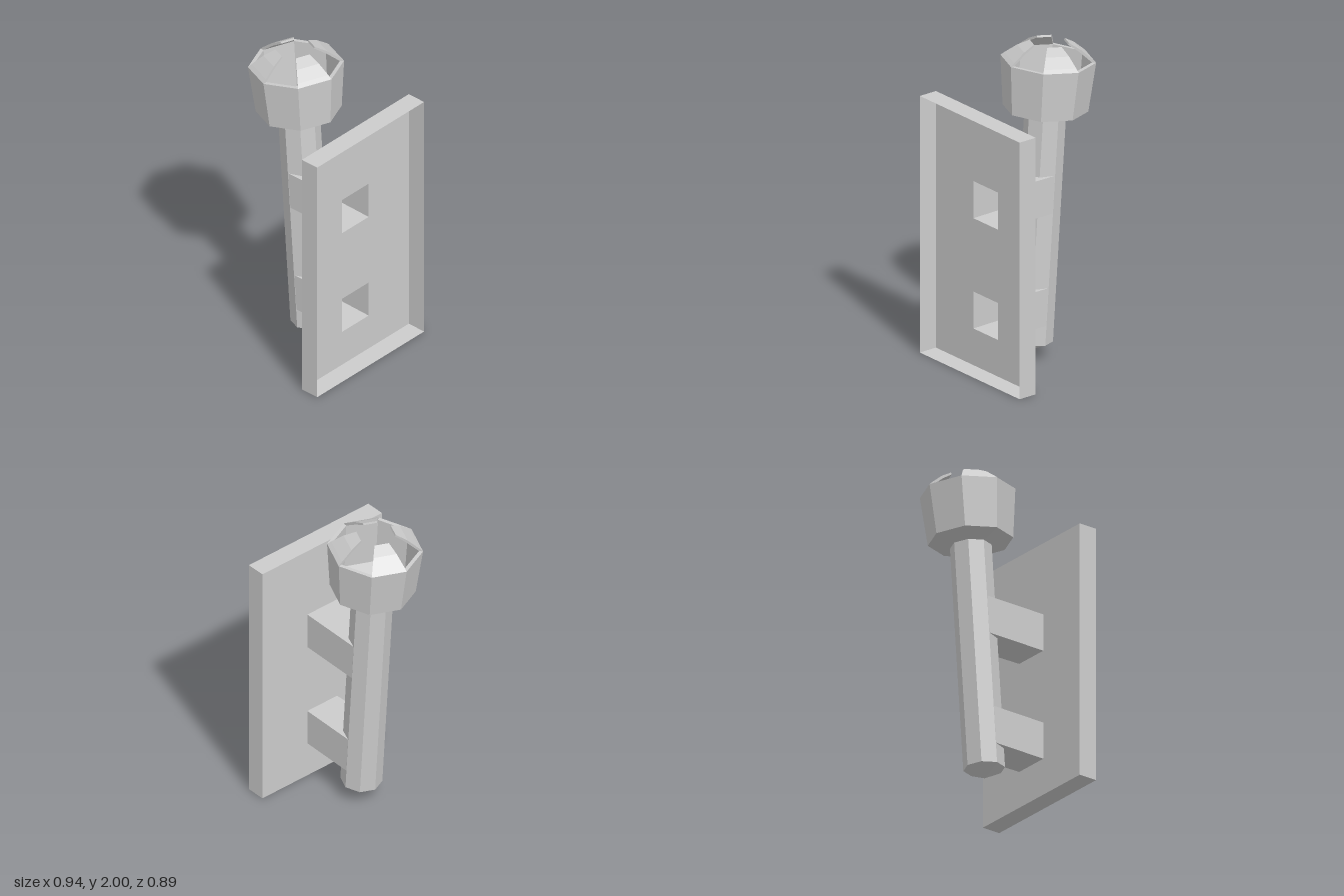
import * as THREE from 'three';

const material = new THREE.MeshStandardMaterial({ color: 0xcccccc, flatShading: true, side: THREE.DoubleSide });

function part(name, geometry) {
  const mesh = new THREE.Mesh(geometry, material);
  mesh.name = name;
  return mesh;
}

const points = (list) => list.map(([x, y]) => new THREE.Vector2(x, y));

// Rectangular sleeve open at both ends, running along z
function sleeve(width, bottom, top, back, front) {
  const geometry = new THREE.CylinderGeometry(Math.SQRT1_2, Math.SQRT1_2, 1, 4, 1, true);
  geometry.rotateY(Math.PI / 4).rotateX(Math.PI / 2);
  geometry.scale(width, top - bottom, front - back);
  geometry.translate(0, (bottom + top) / 2, (back + front) / 2);
  return geometry;
}

const LEAN = 0.07; // backward lean of the torch
const FOOT = { y: 0.11, z: -0.033 };
const axisZ = (y) => FOOT.z - LEAN * (y - FOOT.y);

export function createModel() {
  const model = new THREE.Group();
  model.name = 'wallTorch';

  // Wall plate: shallow tray open to the front, pierced by the bracket openings
  const plate = new THREE.Group();
  plate.name = 'wallPlate';
  const width = 0.94, height = 1.645, back = 0.32, front = 0.443;
  const panel = new THREE.Shape(points([[-width / 2, 0], [width / 2, 0], [width / 2, height], [-width / 2, height]]));
  const brackets = [[0.235, 0.472], [0.942, 1.18]];
  const half = 0.117;
  for (const [y0, y1] of brackets) {
    panel.holes.push(new THREE.Path(points([[-half, y0], [-half, y1], [half, y1], [half, y0]])));
  }
  const panelGeometry = new THREE.ShapeGeometry(panel);
  panelGeometry.translate(0, 0, back);
  plate.add(part('platePanel', panelGeometry));
  plate.add(part('plateRim', sleeve(width, 0, height, back, front)));
  model.add(plate);

  // Hollow brackets, cut along the leaning shaft and slightly wider there
  for (const [y0, y1] of brackets) {
    const geometry = sleeve(half * 2, y0, y1, 0, back);
    const position = geometry.attributes.position;
    for (let i = 0; i < position.count; i++) {
      if (position.getZ(i) < back / 2) {
        position.setX(i, Math.sign(position.getX(i)) * 0.124);
        position.setZ(i, axisZ(position.getY(i)));
      }
    }
    model.add(part('bracket', geometry));
  }

  // Leaning torch
  const torch = new THREE.Group();
  torch.name = 'torch';
  torch.position.set(0, FOOT.y, FOOT.z);
  torch.rotation.x = -LEAN;
  model.add(torch);

  // Eight-sided shaft with a pointed foot
  torch.add(part('shaft', new THREE.LatheGeometry(
    points([[0, -0.06], [0.125, 0], [0.125, 1.43], [0, 1.43]]), 8)));

  // Bowl with a flat rim and a hollow inside
  const head = new THREE.Group();
  head.name = 'head';
  head.position.y = 1.463;
  torch.add(head);
  head.add(part('bowl', new THREE.LatheGeometry(
    points([[0.125, -0.033], [0.256, 0], [0.286, 0.31], [0.261, 0.31], [0.254, 0.003]]), 8)));

  // Four claws bending inward over every other side of the bowl
  const claw = points([[0.286, 0.31], [0.262, 0.33], [0.19, 0.383], [0.117, 0.42],
    [0.113, 0.408], [0.18, 0.37], [0.261, 0.31]]);
  const outline = new THREE.Shape(claw);
  const step = Math.PI / 4;
  for (let i = 0; i < 4; i++) {
    const start = (2 * i - 1) * step;
    const group = new THREE.Group();
    group.name = 'claw';
    group.add(part('clawShell', new THREE.LatheGeometry(claw, 1, start, step)));
    for (const angle of [start, start + step]) {
      const side = new THREE.ShapeGeometry(outline);
      side.rotateY(angle - Math.PI / 2);
      group.add(part('clawSide', side));
    }
    head.add(group);
  }

  return model;
}
